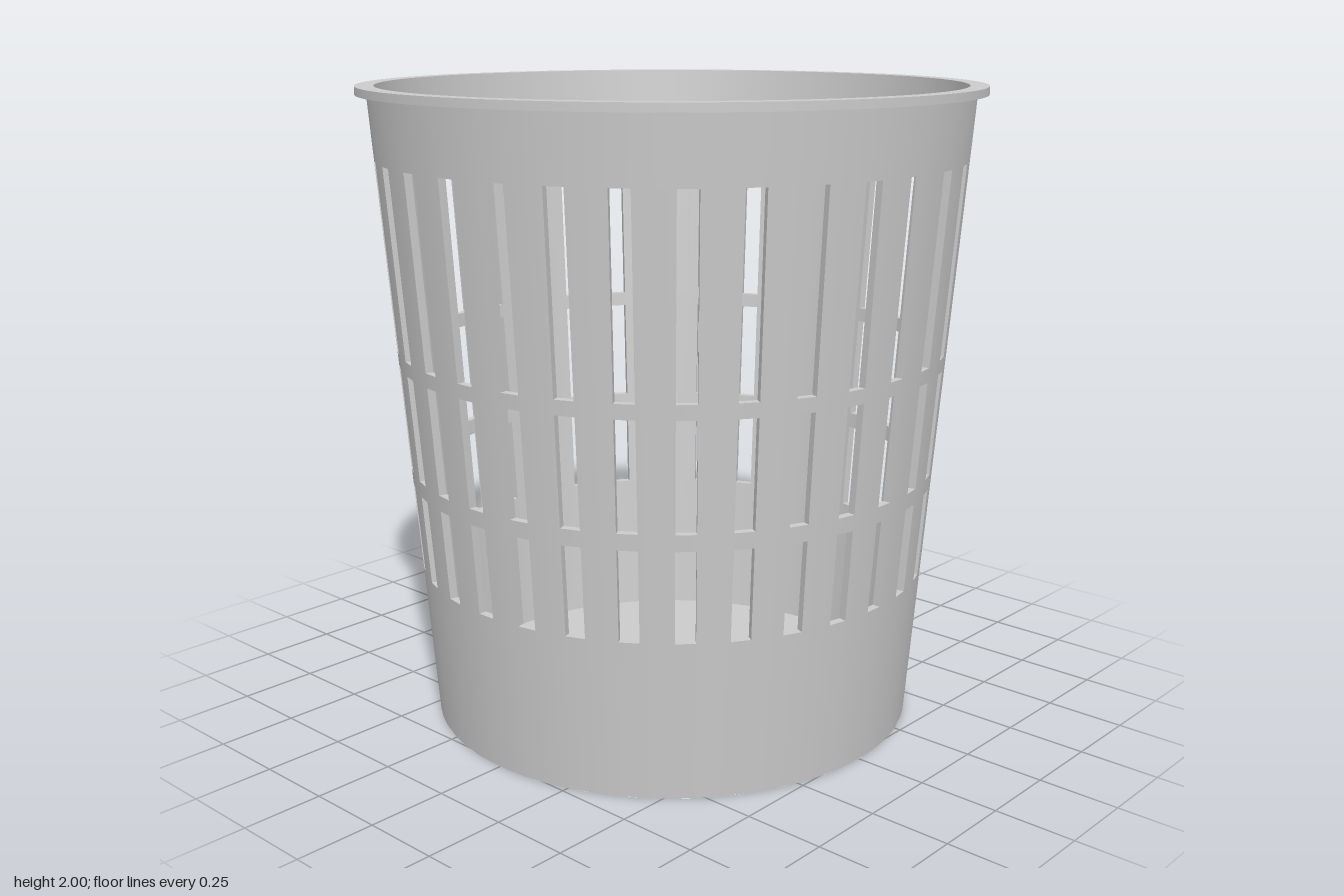
import * as THREE from 'three';
import { toCreasedNormals } from 'three/addons/utils/BufferGeometryUtils.js';

const SLOTS = 32, HALF_SLOT = 0.03, RIB_STEPS = 4, THICKNESS = 0.025;
const LEVELS = [0, 0.495, 0.775, 0.825, 1.155, 1.2, 1.78, 1.99]; // odd bands are slotted

const outerRadius = (y) => 0.77 + 0.0775 * y;

// Tapered wall: solid bands and ribs, with parallel-sided slots cut through
function wallGeometry() {
  const positions = [];
  const quad = (a, b, c, d) => positions.push(...a, ...b, ...c, ...a, ...c, ...d);

  // Column 0..1 spans the slot, 1..RIB_STEPS+1 spans the rib beside it
  const point = (slot, column, y, inner) => {
    const r = outerRadius(y) - (inner ? THICKNESS : 0);
    const pitch = (2 * Math.PI) / SLOTS;
    const edge = Math.asin(HALF_SLOT / r);
    const local = column === 0 ? -edge : edge + ((pitch - 2 * edge) * (column - 1)) / RIB_STEPS;
    const angle = ((slot % SLOTS) * pitch) + local;
    return [r * Math.sin(angle), y, r * Math.cos(angle)];
  };

  for (let s = 0; s < SLOTS; s++) {
    for (let band = 0; band < LEVELS.length - 1; band++) {
      const y0 = LEVELS[band], y1 = LEVELS[band + 1];
      for (let c = 0; c <= RIB_STEPS; c++) {
        const corners = (inner) => [
          point(s, c, y0, inner), point(s, c + 1, y0, inner),
          point(s, c + 1, y1, inner), point(s, c, y1, inner),
        ];
        const o = corners(false), i = corners(true);
        if (c === 0 && band % 2 === 1) {
          // Four reveals lining the slot
          quad(o[0], i[0], i[3], o[3]);
          quad(i[1], o[1], o[2], i[2]);
          quad(o[0], o[1], i[1], i[0]);
          quad(i[3], i[2], o[2], o[3]);
        } else {
          quad(...o);
          quad(i[3], i[2], i[1], i[0]);
        }
      }
    }
  }
  const geometry = new THREE.BufferGeometry();
  geometry.setAttribute('position', new THREE.Float32BufferAttribute(positions, 3));
  return toCreasedNormals(geometry, 0.6);
}

// Turned part with sharp profile corners
function turned(profile) {
  const points = profile.map(([x, y]) => new THREE.Vector2(x, y));
  return toCreasedNormals(new THREE.LatheGeometry(points, 160), 0.6);
}

export function createModel() {
  const basket = new THREE.Group();
  basket.name = 'wasteBasket';
  const material = new THREE.MeshStandardMaterial({ color: 0xcccccc });
  const add = (name, geometry) => {
    const mesh = new THREE.Mesh(geometry, material);
    mesh.name = name;
    basket.add(mesh);
  };

  add('slottedWall', wallGeometry());

  // Closed floor disc
  add('floor', turned([[0, 0], [0.77, 0], [0.748, 0.025], [0, 0.025]]));

  // Flat lip around the opening
  add('rim', turned([[0.915, 1.975], [0.957, 1.975], [0.957, 2], [0.9, 2], [0.899, 1.985]]));

  return basket;
}
